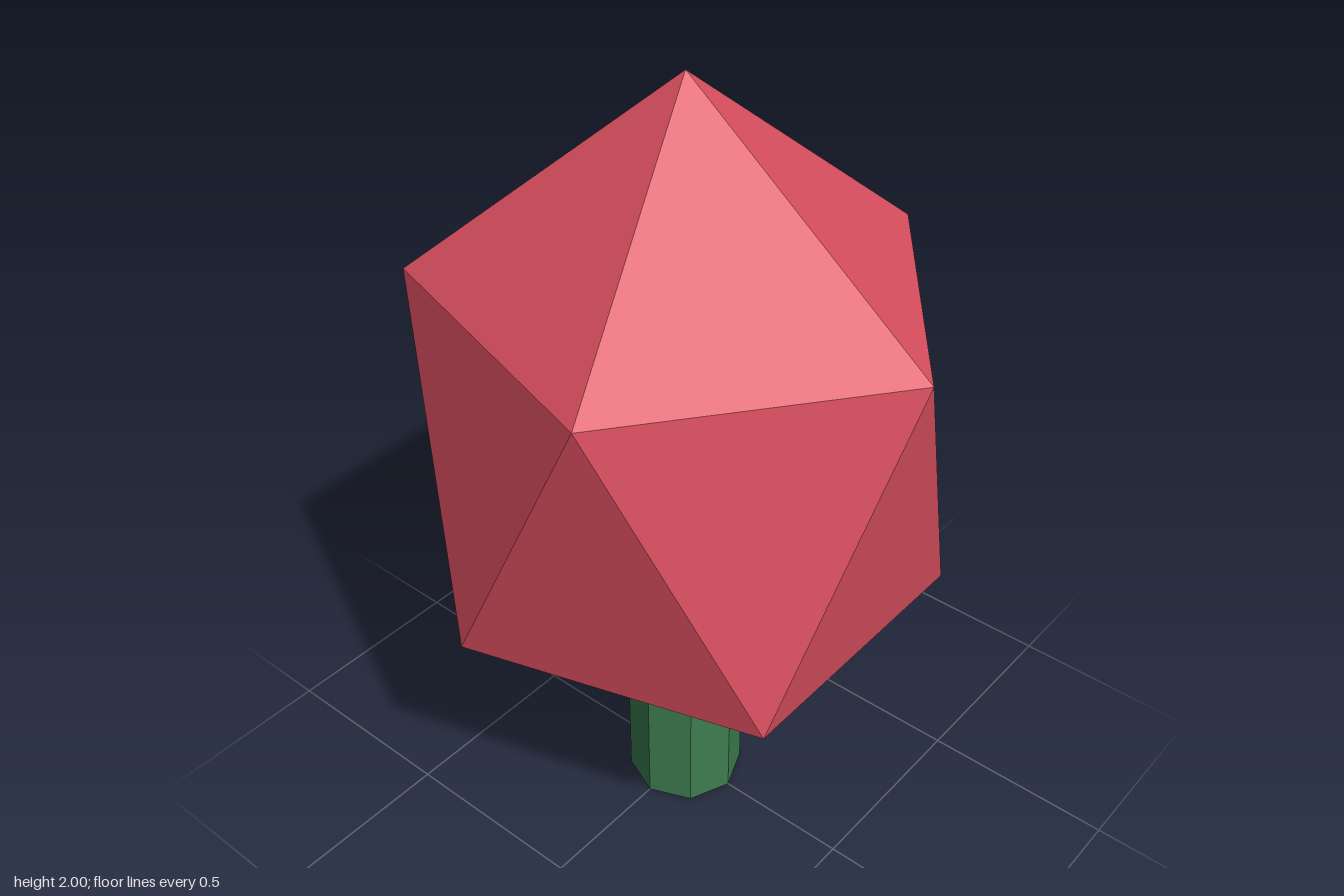
import * as THREE from 'three';

const crownRed = new THREE.MeshStandardMaterial({ color: 0xd94f5f, flatShading: true });
crownRed.name = 'crownRed';
const stemGreen = new THREE.MeshStandardMaterial({ color: 0x3e7d50, flatShading: true });
stemGreen.name = 'stemGreen';

// Icosahedron standing on a vertex: two poles and two staggered rings of five
function uprightIcosahedron() {
  const ringY = 1 / Math.sqrt(5), ringR = 2 / Math.sqrt(5);
  const ringPoint = (step, y) => {
    const a = (step * Math.PI) / 5;
    return [ringR * Math.cos(a), y, ringR * Math.sin(a)];
  };
  const top = [0, 1, 0], bottom = [0, -1, 0];
  const positions = [];
  for (let k = 0; k < 5; k++) {
    const u0 = ringPoint(2 * k, ringY), u1 = ringPoint(2 * k + 2, ringY);
    const l0 = ringPoint(2 * k + 1, -ringY), l1 = ringPoint(2 * k + 3, -ringY);
    for (const face of [[top, u1, u0], [u0, u1, l0], [l0, u1, l1], [bottom, l0, l1]]) {
      positions.push(...face.flat());
    }
  }
  const geometry = new THREE.BufferGeometry();
  geometry.setAttribute('position', new THREE.Float32BufferAttribute(positions, 3));
  return geometry;
}

export function createModel() {
  const model = new THREE.Group();
  model.name = 'lowPolyBud';

  // Faceted crown, stretched upward and slightly flattened in depth
  const crownGeometry = uprightIcosahedron().scale(0.721, 0.89, 0.68);
  crownGeometry.computeVertexNormals();
  const crown = new THREE.Mesh(crownGeometry, crownRed);
  crown.name = 'crown';
  crown.position.y = 1.11;
  model.add(crown);

  // Eight-sided stem, its top buried in the crown
  const stemHeight = 0.44;
  const stem = new THREE.Mesh(new THREE.CylinderGeometry(0.15, 0.15, stemHeight, 8), stemGreen);
  stem.name = 'stem';
  stem.position.y = stemHeight / 2;
  model.add(stem);

  return model;
}
